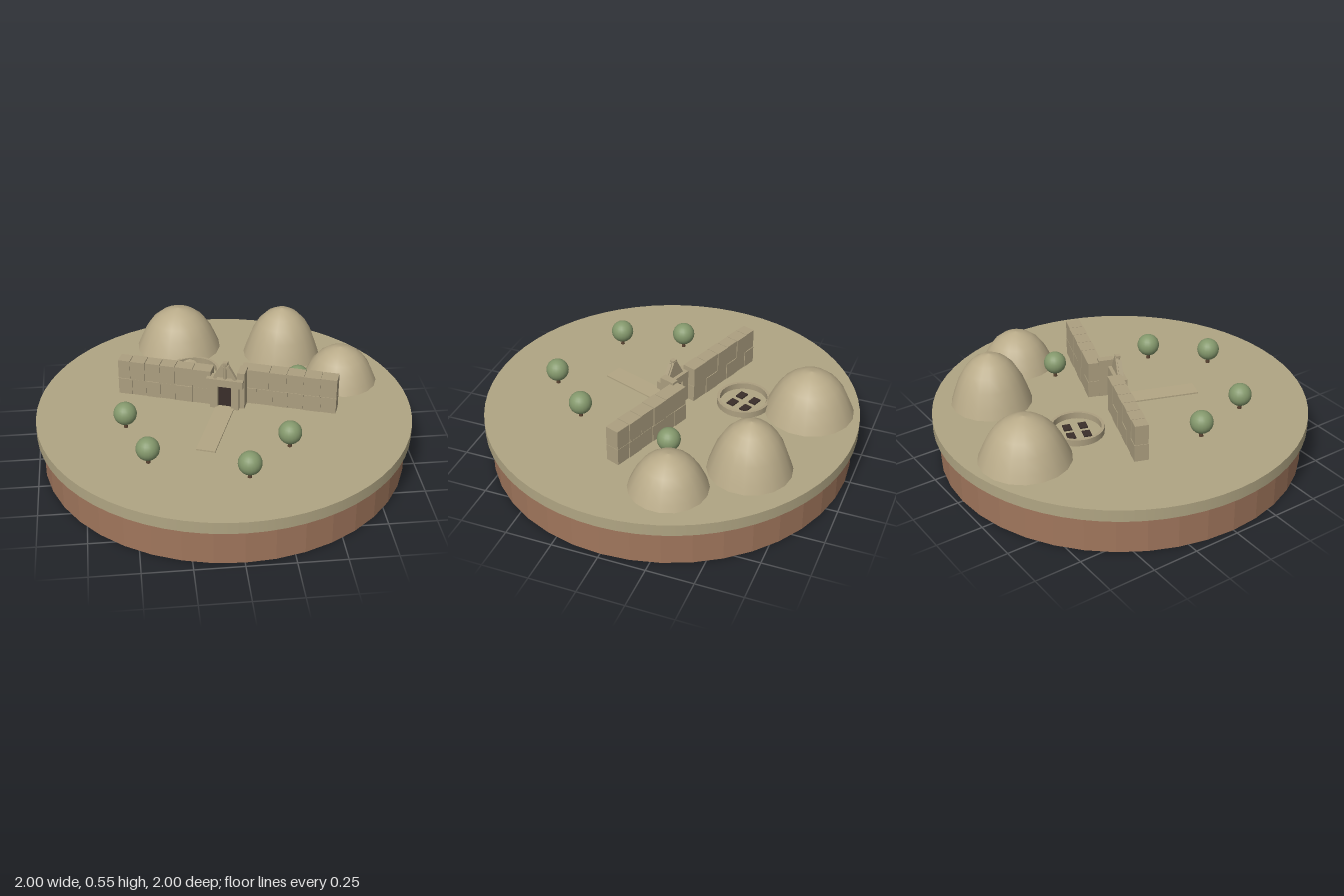
import * as THREE from 'three';

const material = (name, color, extra = {}) => {
  const m = new THREE.MeshStandardMaterial({ color, ...extra });
  m.name = name;
  return m;
};

export function createModel() {
  const model = new THREE.Group();
  model.name = 'citadelDiorama';
  const GROUND = 0.265;

  const soil = material('soil brown', 0xa0765c, { flatShading: true });
  const earth = material('dry earth', 0xb0a583);
  const path = material('path sand', 0xb3a684);
  const stone = material('wall stone', 0xac9f80);
  const hill = material('hill tan', 0xb9ab89);
  const leaf = material('olive leaf', 0x84986c);
  const bark = material('bark', 0x5a4432);
  const dark = material('dark opening', 0x3a2e2a);

  const add = (parent, name, geometry, mat, x = 0, y = 0, z = 0) => {
    const mesh = new THREE.Mesh(geometry, mat);
    mesh.name = name;
    mesh.position.set(x, y, z);
    parent.add(mesh);
    return mesh;
  };
  const box = (parent, name, w, h, d, mat, x, y, z) =>
    add(parent, name, new THREE.BoxGeometry(w, h, d), mat, x, y, z);

  // Round base
  add(model, 'soilBase', new THREE.CylinderGeometry(0.972, 0.972, 0.2, 40), soil, 0, 0.1, 0);
  add(model, 'groundDisc', new THREE.CylinderGeometry(1, 1, 0.065, 64), earth, 0, 0.2325, 0);

  // Hills: rounded mounds with a steep foot
  for (const [x, z, r, h] of [[-0.19, -0.705, 0.238, 0.245], [0.39, -0.565, 0.217, 0.285], [0.67, -0.24, 0.203, 0.2]]) {
    const profile = [[1, 0], [0.93, 0.17], [0.79, 0.47], [0.62, 0.7], [0.42, 0.86], [0.2, 0.96], [0, 1]]
      .map(([a, b]) => new THREE.Vector2(a * r, b * h));
    add(model, 'hill', new THREE.LatheGeometry(profile, 18), hill, x, GROUND, z);
  }

  // Trees
  for (const [x, z] of [[0.42, -0.145], [-0.53, 0.135], [-0.43, 0.47], [0.295, 0.4], [0.06, 0.645]]) {
    const tree = new THREE.Group();
    tree.name = 'tree';
    tree.position.set(x, GROUND, z);
    add(tree, 'trunk', new THREE.CylinderGeometry(0.008, 0.011, 0.05, 8), bark, 0, 0.025, 0);
    add(tree, 'crown', new THREE.SphereGeometry(0.061, 20, 14), leaf, 0, 0.085, 0);
    model.add(tree);
  }

  // Grave circle: low ring wall and four shafts
  const graves = new THREE.Group();
  graves.name = 'graveCircle';
  graves.position.set(-0.13, GROUND, -0.36);
  graves.rotation.y = -0.32;
  const ring = [[0.127, 0], [0.143, 0], [0.143, 0.035], [0.127, 0.035], [0.127, 0]];
  // doubled corner points keep the rim sharp
  const ringPoints = ring.flatMap(([r, y]) => [new THREE.Vector2(r, y), new THREE.Vector2(r, y)]);
  add(graves, 'ringWall', new THREE.LatheGeometry(ringPoints, 28), stone);
  for (const sx of [-1, 1]) for (const sz of [-1, 1]) {
    box(graves, 'graveShaft', 0.052, 0.008, 0.042, dark, sx * 0.041, 0.004, sz * 0.042);
  }
  model.add(graves);

  // Fortification, turned with the wall line
  const fort = new THREE.Group();
  fort.name = 'fortification';
  fort.position.y = GROUND;
  fort.rotation.y = -0.34;
  model.add(fort);

  // Walls: two courses of large blocks with uneven joints
  const wall = (name, u0, u1, n, depth, lowerCuts, upperCuts) => {
    const group = new THREE.Group();
    group.name = name;
    [[lowerCuts, 0, 0.093], [upperCuts, 0.095, 0.108]].forEach(([cuts, y, h], row) => {
      const ends = [0, ...cuts, 1];
      for (let i = 0; i < ends.length - 1; i++) {
        const a = u0 + (u1 - u0) * ends[i], b = u0 + (u1 - u0) * ends[i + 1];
        const inset = ((i + row) % 2) * 0.005;
        box(group, 'wallBlock', b - a - 0.003, h, depth - inset, stone, (a + b) / 2, y + h / 2, n);
      }
    });
    box(group, 'wallCore', u1 - u0 - 0.01, 0.197, depth - 0.012, stone, (u0 + u1) / 2, 0.0985, n);
    fort.add(group);
  };
  wall('leftWall', -0.593, -0.075, -0.052, 0.075, [0.15, 0.3, 0.46, 0.62, 0.8], [0.13, 0.29, 0.45, 0.61, 0.8]);
  wall('rightWall', 0.071, 0.592, -0.116, 0.082, [0.17, 0.34, 0.5, 0.66, 0.84], [0.3, 0.48, 0.66, 0.83]);

  // Gate: jambs, lintel, side block and dark door
  const gate = new THREE.Group();
  gate.name = 'gate';
  fort.add(gate);
  for (const s of [-1, 1]) box(gate, 'gateJamb', 0.04, 0.135, 0.06, stone, 0.004 + s * 0.058, 0.0675, -0.018);
  box(gate, 'door', 0.08, 0.135, 0.012, dark, 0.004, 0.0675, -0.025);
  box(gate, 'lintel', 0.2, 0.042, 0.062, stone, 0.004, 0.156, -0.017);
  box(gate, 'gateSideBlock', 0.04, 0.215, 0.085, stone, 0.088, 0.1075, -0.055);

  // Triangular relief: slab, column and a pair of leaning figures
  const triangle = new THREE.Shape();
  triangle.moveTo(-0.06, 0);
  triangle.lineTo(0.06, 0);
  triangle.lineTo(0.01, 0.09);
  triangle.lineTo(-0.01, 0.09);
  triangle.closePath();
  add(gate, 'reliefSlab', new THREE.ExtrudeGeometry(triangle, { depth: 0.014, bevelEnabled: false }), stone, 0.004, 0.177, -0.028);
  add(gate, 'reliefColumn', new THREE.CylinderGeometry(0.008, 0.007, 0.085, 10), stone, 0.004, 0.2195, -0.006);
  box(gate, 'columnCap', 0.026, 0.012, 0.026, stone, 0.004, 0.268, -0.012);
  for (const s of [-1, 1]) {
    const figure = box(gate, 'reliefFigure', 0.018, 0.088, 0.022, stone, 0.004 + s * 0.034, 0.215, -0.008);
    figure.rotation.z = s * 0.52;
  }

  // Approach path
  box(fort, 'approachPath', 0.1, 0.008, 0.425, path, 0.006, 0.004, 0.2125);

  return model;
}
